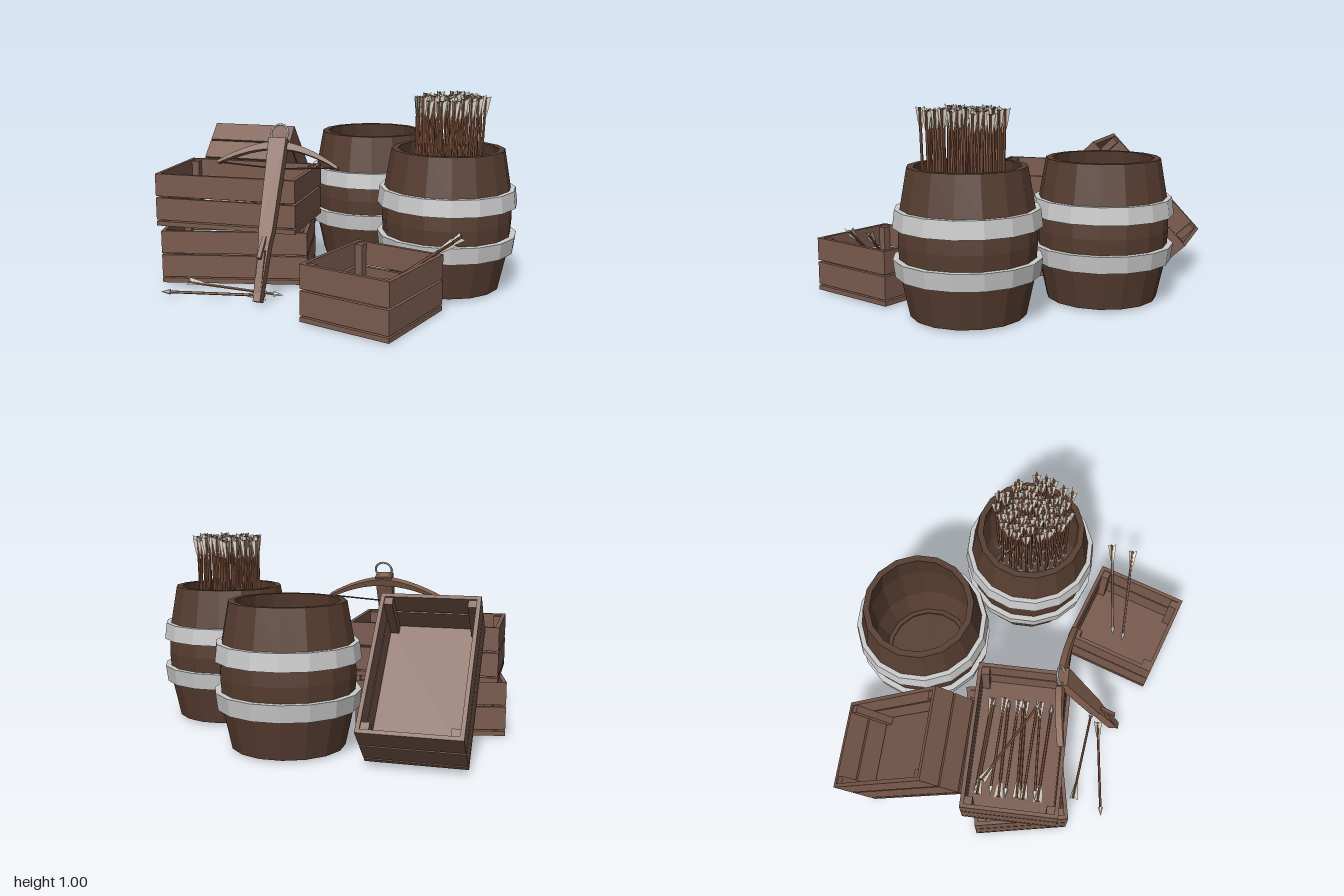
import * as THREE from 'three';
import { mergeGeometries } from 'three/addons/utils/BufferGeometryUtils.js';

const V = (x, y, z) => new THREE.Vector3(x, y, z);
const UP = V(0, 1, 0);
const mat = (color, side = THREE.FrontSide) =>
  new THREE.MeshStandardMaterial({ color, side, flatShading: true });

const plankWood = mat(0x7a5a4d);
const barrelWood = mat(0x573d30);
const bowWood = mat(0x83604f);
const shaftWood = mat(0x8a5a42);
const metal = mat(0xcccccc);
const feather = mat(0xd6d1c3, THREE.DoubleSide);
const cordMat = mat(0x4a4038);

let seed = 7;
const rand = () => (seed = (seed * 16807) % 2147483647) / 2147483647;

function add(parent, name, geometry, material, x = 0, y = 0, z = 0) {
  const m = new THREE.Mesh(geometry, material);
  m.name = name;
  m.position.set(x, y, z);
  parent.add(m);
  return m;
}

function named(parent, name) {
  const g = new THREE.Group();
  g.name = name;
  parent.add(g);
  return g;
}

// Thin round rod between two points
function rod(parent, name, a, b, r, material) {
  const m = add(parent, name, new THREE.CylinderGeometry(r, r, a.distanceTo(b), 6), material);
  m.position.copy(a).lerp(b, 0.5);
  m.quaternion.setFromUnitVectors(UP, b.clone().sub(a).normalize());
}

// Faceted stave barrel: recessed base, bulging wall, open top, two hoops
function barrel(parent, x, z) {
  const g = named(parent, 'barrel');
  g.position.set(x, 0, z);
  const lathe = (pts) => new THREE.LatheGeometry(pts.map(([r, y]) => new THREE.Vector2(r, y)), 16);
  add(g, 'barrelBody', lathe([
    [0, 0.05], [0.23, 0.05], [0.24, 0.005], [0.28, 0.005], [0.322, 0.2], [0.333, 0.36],
    [0.322, 0.52], [0.287, 0.715], [0.255, 0.715], [0.295, 0.5], [0.295, 0.22],
    [0.245, 0.08], [0.22, 0.08], [0.22, 0.07], [0, 0.07],
  ]), barrelWood);
  for (const [y0, r0, y1, r1] of [[0.2, 0.347, 0.285, 0.358], [0.435, 0.358, 0.52, 0.347]])
    add(g, 'hoop', lathe([[0.31, y0], [r0, y0], [r1, y1], [0.31, y1]]), metal);
  return g;
}

// Open crate: floor slab, two planks per wall, four inner corner posts
function crate(parent, name, w, d) {
  const g = named(parent, name);
  const t = 0.02, h = 0.112;
  add(g, 'floor', new THREE.BoxGeometry(w, 0.024, d), plankWood, 0, 0.012, 0);
  for (const y of [0.091, 0.219]) {
    for (const s of [-1, 1]) {
      add(g, 'longPlank', new THREE.BoxGeometry(w, h + 0.006, t), plankWood, 0, y, s * (d - t) / 2);
      add(g, 'endPlank', new THREE.BoxGeometry(t, h + 0.006, d - 2 * t), plankWood, s * (w - t) / 2, y, 0);
    }
  }
  for (const sx of [-1, 1]) for (const sz of [-1, 1])
    add(g, 'cornerPost', new THREE.BoxGeometry(0.04, 0.25, 0.04), plankWood,
      sx * (w / 2 - t - 0.02), 0.145, sz * (d / 2 - t - 0.02));
  return g;
}

// Shared arrow parts, running from the tip at 0 up to the tail
const ARROW = 0.54;
const shaftGeo = new THREE.CylinderGeometry(0.007, 0.007, ARROW - 0.05, 6).translate(0, ARROW / 2 + 0.02, 0);
const headGeo = new THREE.ConeGeometry(0.014, 0.05, 6).rotateX(Math.PI).translate(0, 0.025, 0);
const vane = new THREE.Shape([[0.005, ARROW - 0.11], [0.014, ARROW - 0.08], [0.027, ARROW],
  [0.005, ARROW - 0.012]].map(([x, y]) => new THREE.Vector2(x, y)));
const fletchGeo = mergeGeometries([0, 1, 2].map((i) =>
  new THREE.ShapeGeometry(vane).rotateY(i * Math.PI * 2 / 3)));

function arrow(parent, tip, tail) {
  const g = named(parent, 'arrow');
  add(g, 'shaft', shaftGeo, shaftWood);
  add(g, 'arrowhead', headGeo, metal);
  add(g, 'fletching', fletchGeo, feather);
  g.position.copy(tip);
  g.quaternion.setFromUnitVectors(UP, tail.clone().sub(tip).normalize());
}

// Crossbow standing on its butt, local y along the stock, underside to +z
function crossbow(parent) {
  const g = named(parent, 'crossbow');
  const extrude = (pts, depth) => new THREE.ExtrudeGeometry(
    new THREE.Shape(pts.map(([x, y]) => new THREE.Vector2(x, y))), { depth, bevelEnabled: false })
    .translate(0, 0, -depth / 2);
  add(g, 'stock', extrude([[-0.018, 0.01], [0.018, 0.01], [0.028, 0.3], [0.036, 0.36], [0.046, 0.83],
    [-0.046, 0.83], [-0.036, 0.36], [-0.028, 0.3]], 0.055), bowWood);
  const butt = add(g, 'butt', new THREE.BoxGeometry(0.034, 0.24, 0.045), bowWood, 0, 0.14, 0.012);
  butt.rotation.x = 0.08;
  const lever = add(g, 'trigger', new THREE.BoxGeometry(0.02, 0.12, 0.018), bowWood, 0, 0.27, 0.045);
  lever.rotation.x = -0.35;

  // Curved limbs, tapering towards the tips
  const top = [], under = [];
  for (let i = -8; i <= 8; i++) {
    const u = i / 8, y = 0.82 - 0.115 * Math.pow(Math.abs(u), 1.7);
    top.push([u * 0.32, y]);
    under.unshift([u * 0.315, y - 0.042 + 0.028 * Math.abs(u)]);
  }
  add(g, 'bowLimbs', extrude(under.concat(top).reverse(), 0.034), bowWood, 0, 0, -0.022);
  for (const s of [-1, 1])
    rod(g, 'string', V(s * 0.31, 0.7, -0.025), V(0, 0.685, -0.04), 0.004, cordMat);

  // Foot stirrup at the nose
  add(g, 'stirrup', new THREE.TorusGeometry(0.045, 0.006, 6, 16), metal, 0, 0.86, 0);
  g.rotation.set(-0.42, -0.215, 0, 'YXZ');
  g.position.set(-0.35, 0.01, 0.555);
}

export function createModel() {
  const model = new THREE.Group();
  model.name = 'armouryStores';

  barrel(model, 0.18, -0.48);
  barrel(model, 0.575, 0.135);

  // Stacked crates, a square one in front and one leaning at the back
  crate(model, 'lowerCrate', 0.76, 0.49).position.set(-0.52, 0, -0.025);
  const upper = crate(model, 'upperCrate', 0.76, 0.49);
  upper.position.set(-0.52, 0.288, -0.02);
  upper.rotation.y = -0.192;
  const small = crate(model, 'squareCrate', 0.475, 0.5);
  small.position.set(0.205, 0, 0.655);
  small.rotation.y = -0.53;
  const leaning = crate(model, 'leaningCrate', 0.76, 0.48);
  leaning.position.set(-0.49, 0.276, -0.517);
  leaning.rotation.set(0, -1.784, 0.81, 'YZX');

  // Bundle of arrows, tips down in the barrel
  const bundle = named(model, 'arrowBundle');
  for (let i = 0; i < 68; i++) {
    const r = 0.175 * Math.sqrt((i + 0.5) / 68), a = i * 2.39996;
    const x = 0.575 + r * Math.cos(a), z = 0.145 + r * 1.12 * Math.sin(a);
    const y = 0.455 - rand() * 0.03;
    arrow(bundle, V(x, y, z), V(x + (rand() - 0.5) * 0.04, y + ARROW, z + (rand() - 0.5) * 0.04));
  }

  // Arrows laid in the upper crate, alternating direction
  for (let i = 0; i < 10; i++) {
    const z = -0.19 + i * 0.039, s = i % 2 ? 1 : -1, skew = (rand() - 0.5) * 0.06;
    const y = 0.025 + (i % 3) * 0.014;
    arrow(upper, V(s * 0.27, y + 0.015, z), V(-s * 0.27, y + 0.015, z + skew));
  }
  arrow(model, V(-0.28, 0.385, 0.13), V(-0.7, 0.395, -0.23));

  // Loose arrows: two on the ground, two propped in the square crate
  arrow(model, V(-0.86, 0.018, 0.42), V(-0.33, 0.022, 0.46));
  arrow(model, V(-0.24, 0.018, 0.44), V(-0.74, 0.022, 0.28));
  arrow(model, V(0.18, 0.07, 0.6), V(0.6, 0.37, 0.61));
  arrow(model, V(0.14, 0.07, 0.65), V(0.55, 0.37, 0.72));

  crossbow(model);
  return model;
}
